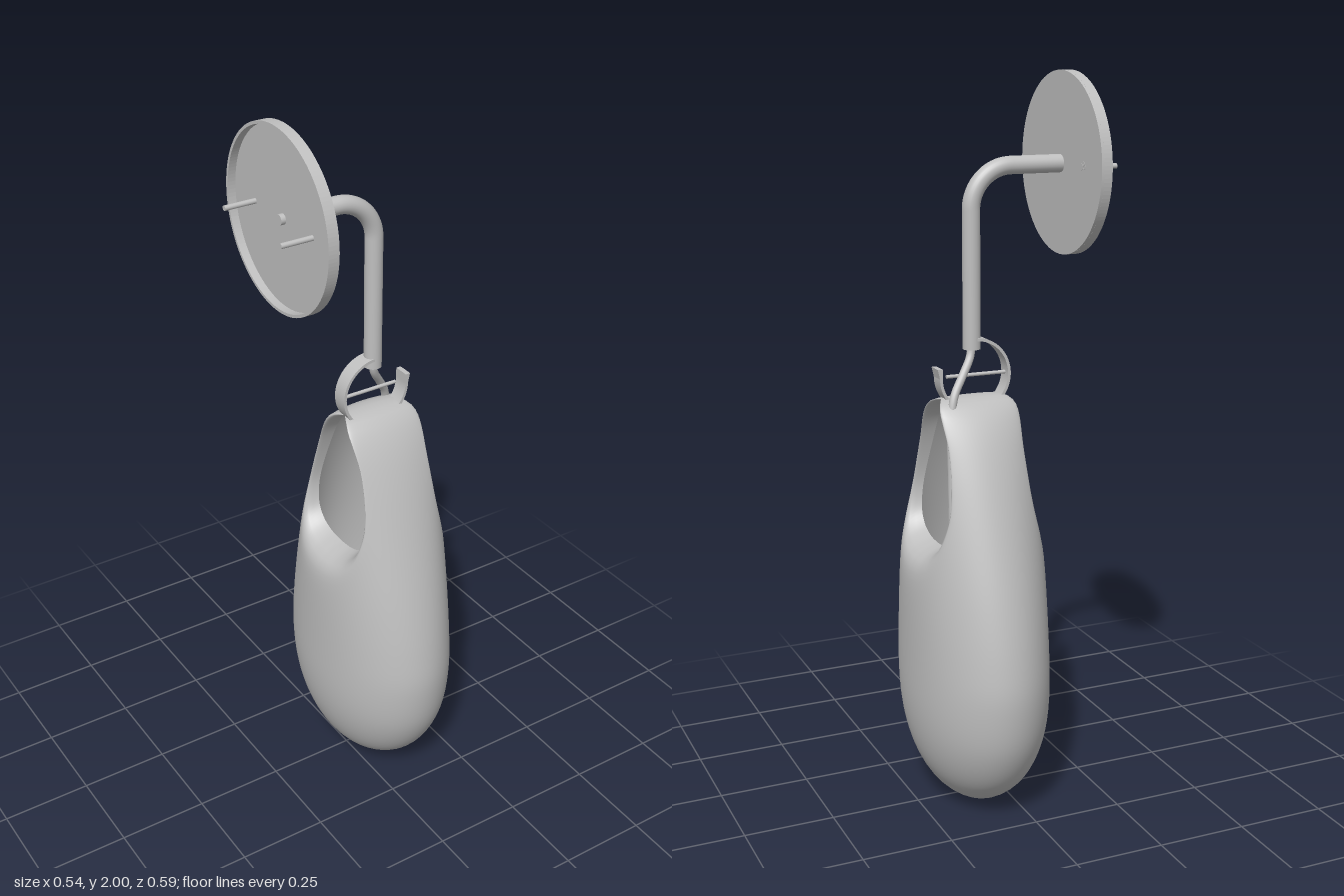
import * as THREE from 'three';

const { smoothstep, lerp } = THREE.MathUtils;

// Smooth half outline in (z, y), top to bottom
const outline = (pts) => new THREE.SplineCurve(pts.map(([z, y]) => new THREE.Vector2(z, y)));

// Half depth of an outline at height y
function depthAt(curve, y) {
  let lo = 0, hi = 1;
  for (let i = 0; i < 26; i++) {
    const mid = (lo + hi) / 2;
    if (curve.getPoint(mid).y > y) lo = mid; else hi = mid;
  }
  return curve.getPoint(lo).x;
}

// Hollow egg-shaped shade: loops swept from one side opening, around the rim silhouette, to the other
function shadeGeometry() {
  const hole = outline([[0, 1.145], [0.045, 1.125], [0.085, 1.07], [0.117, 0.98], [0.134, 0.89],
    [0.125, 0.82], [0.095, 0.78], [0.05, 0.76], [0, 0.755]]);
  const outer = outline([[0, 1.16], [0.05, 1.147], [0.1, 1.085], [0.148, 0.98], [0.202, 0.82], [0.253, 0.64],
    [0.286, 0.48], [0.295, 0.36], [0.272, 0.22], [0.205, 0.1], [0.1, 0.022], [0, 0.004]]);
  const half = 56, around = half * 2, across = 64;
  const pos = [], idx = [];
  for (let i = 0; i < around; i++) {
    const side = i <= half ? 1 : -1;
    const t = (i <= half ? i : around - i) / half;
    const a = hole.getPointAt(t), b = outer.getPointAt(t);
    for (let j = 0; j <= across; j++) {
      const v = (2 * j) / across - 1;
      const s = smoothstep(1 - Math.abs(v), 0, 1);
      const p = a.clone().lerp(b, s);
      // elliptic section, closing at the top and bottom
      const top = Math.min(1, Math.max(0, (p.y - 1.1) / 0.06)) ** 4;
      const bottom = Math.min(1, Math.max(0, (0.38 - p.y) / 0.376)) ** 2.4;
      const ratio = p.x / Math.max(1e-4, depthAt(outer, p.y));
      const ellipse = 0.193 * Math.sqrt(Math.max(1e-8, (1 - top) * (1 - bottom) * (1 - ratio * ratio)));
      // scooped inwards around the opening
      const rim = lerp(0.1, 0.063, smoothstep(p.y, 0.76, 1.1));
      const scoop = rim + 0.17 * (1 - Math.exp(-p.distanceTo(a) / 0.05));
      const x = Math.sign(v) * (ellipse ** -6 + scoop ** -6) ** (-1 / 6);
      pos.push(0.08 + x, p.y, side * p.x + 0.0075 * (1 - s));
    }
  }
  const row = across + 1;
  for (let i = 0; i < around; i++) {
    for (let j = 0; j < across; j++) {
      const a = i * row + j, b = ((i + 1) % around) * row + j;
      idx.push(a, a + 1, b, b, a + 1, b + 1);
    }
  }
  const g = new THREE.BufferGeometry();
  g.setAttribute('position', new THREE.Float32BufferAttribute(pos, 3));
  g.setIndex(idx);
  g.computeVertexNormals();
  return g;
}

export function createModel() {
  const group = new THREE.Group();
  const grey = new THREE.MeshStandardMaterial({ color: 0xbfbfbf, side: THREE.DoubleSide });
  grey.name = 'light grey';
  const V = (x, y, z) => new THREE.Vector3(x, y, z);
  const Z = 0.0075, WALL_Y = 1.76, FACE = -0.179;

  const add = (name, geometry, x = 0, y = 0, z = 0) => {
    const m = new THREE.Mesh(geometry, grey);
    m.name = name;
    m.position.set(x, y, z);
    group.add(m);
  };
  // Rod along x
  const rod = (name, x0, x1, r, y, z, sides = 20) =>
    add(name, new THREE.CylinderGeometry(r, r, x1 - x0, sides).rotateZ(Math.PI / 2), (x0 + x1) / 2, y, z);

  add('shade', shadeGeometry());

  // Wall plate: shallow cup, open towards the wall
  rod('wallPlate', FACE - 0.008, FACE, 0.24, WALL_Y, Z, 72);
  const lip = new THREE.Shape().absarc(0, 0, 0.24, 0, Math.PI * 2);
  lip.holes.push(new THREE.Path().absarc(0, 0, 0.232, 0, Math.PI * 2, true));
  add('wallPlateLip', new THREE.ExtrudeGeometry(lip, { depth: 0.023, bevelEnabled: false, curveSegments: 72 })
    .rotateY(Math.PI / 2), -0.209, WALL_Y, Z);
  rod('armNut', -0.2, FACE - 0.008, 0.014, WALL_Y, Z);

  // Fixing screws with flush cross heads
  for (const z of [-0.126, 0.141]) {
    rod('screw', -0.275, FACE - 0.008, 0.007, WALL_Y, z);
    rod('screwHead', FACE - 0.001, FACE + 0.0005, 0.014, WALL_Y, z);
    for (const turn of [1, -1]) {
      add('screwCross', new THREE.BoxGeometry(0.001, 0.02, 0.004).rotateX(turn * Math.PI / 4),
        FACE + 0.0008, WALL_Y, z);
    }
  }

  // Bent arm
  const armPath = new THREE.CurvePath();
  armPath.add(new THREE.LineCurve3(V(FACE, WALL_Y, Z), V(-0.035, WALL_Y, Z)));
  armPath.add(new THREE.CubicBezierCurve3(V(-0.035, WALL_Y, Z), V(0.026, WALL_Y, Z),
    V(0.077, 1.711, Z), V(0.077, 1.65, Z)));
  armPath.add(new THREE.LineCurve3(V(0.077, 1.65, Z), V(0.077, 1.282, Z)));
  add('arm', new THREE.TubeGeometry(armPath, 90, 0.024, 24));
  add('armEnd', new THREE.CircleGeometry(0.024, 24).rotateX(Math.PI / 2), 0.077, 1.282, Z);

  // Cable dropping into the shade
  const cable = new THREE.CatmullRomCurve3([V(0.077, 1.3, Z), V(0.084, 1.262, 0.002), V(0.115, 1.215, -0.018),
    V(0.147, 1.165, -0.038), V(0.16, 1.08, -0.048), V(0.161, 0.95, -0.053), V(0.16, 0.76, -0.055),
    V(0.155, 0.6, -0.055)]);
  add('cable', new THREE.TubeGeometry(cable, 80, 0.011, 16));

  // Flat hook ring under the strap, with upturned tip
  const start = Math.PI / 2, end = Math.PI * 2;
  const hook = new THREE.Shape().absarc(0, 0, 0.102, start, end);
  hook.lineTo(0.108, 0.026);
  hook.lineTo(0.094, 0.026);
  hook.lineTo(0.094, 0);
  hook.absarc(0, 0, 0.094, end, start, true);
  add('hook', new THREE.ExtrudeGeometry(hook, { depth: 0.045, bevelEnabled: false, curveSegments: 48 }),
    0.075, 1.212, Z - 0.0225);
  rod('hookPin', -0.022, 0.15, 0.005, 1.212, Z);

  return group;
}
